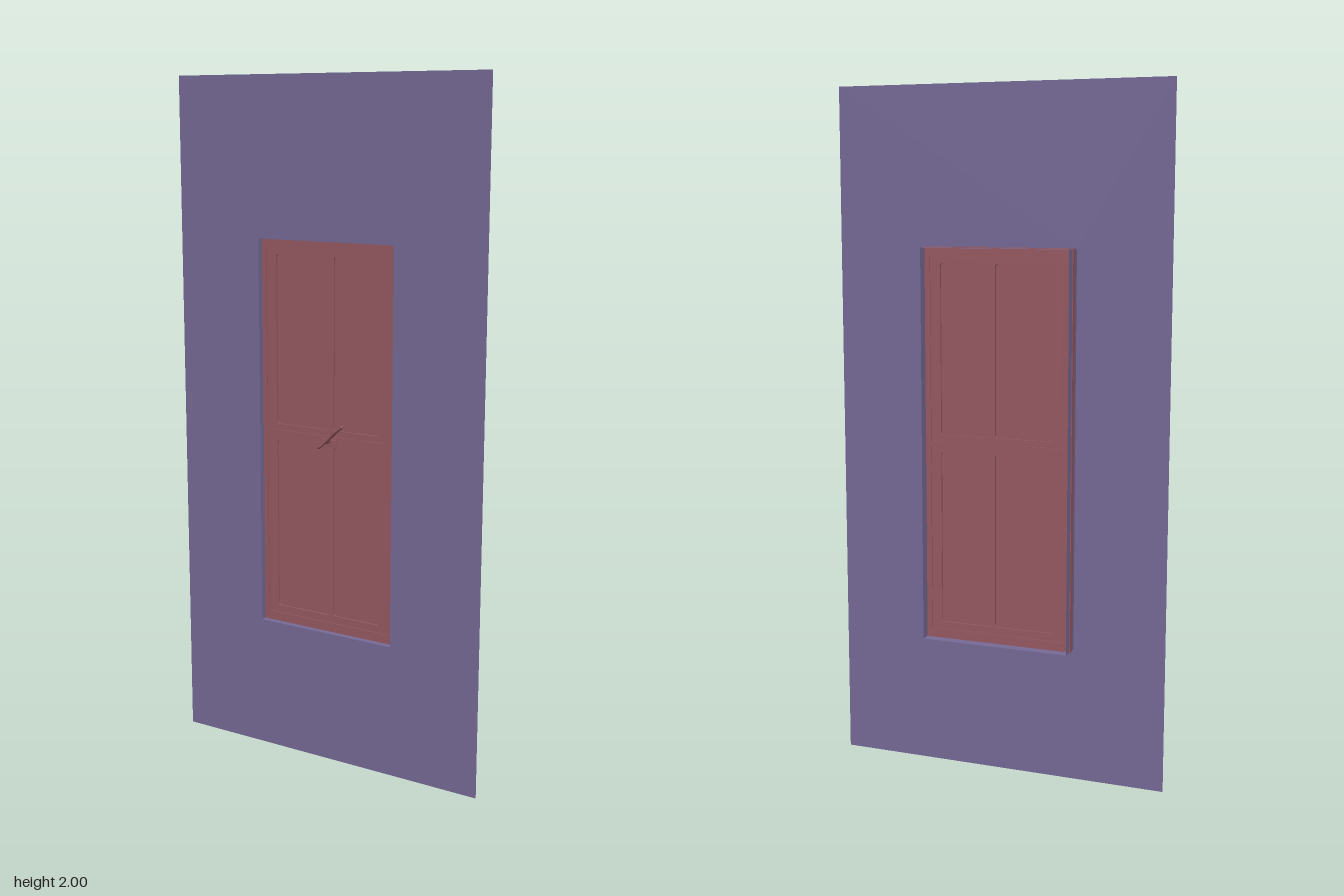
import * as THREE from 'three';

const wallMat = new THREE.MeshStandardMaterial({ color: 0x776b98, side: THREE.DoubleSide });
const woodMat = new THREE.MeshStandardMaterial({ color: 0x985a62 });

// Outline of a rectangle, with optionally rounded corners
function rect(Type, x0, x1, y0, y1, r = 0) {
  const p = new Type();
  if (!r) {
    p.moveTo(x0, y0).lineTo(x1, y0).lineTo(x1, y1).lineTo(x0, y1).closePath();
    return p;
  }
  p.absarc(x1 - r, y0 + r, r, -Math.PI / 2, 0);
  p.absarc(x1 - r, y1 - r, r, 0, Math.PI / 2);
  p.absarc(x0 + r, y1 - r, r, Math.PI / 2, Math.PI);
  p.absarc(x0 + r, y0 + r, r, Math.PI, Math.PI * 1.5);
  p.closePath();
  return p;
}

function mesh(name, geometry, material) {
  const m = new THREE.Mesh(geometry, material);
  m.name = name;
  return m;
}

// Flat board with openings, from z0 to z1
function board(name, outline, holes, z0, z1) {
  outline.holes.push(...holes);
  const g = new THREE.ExtrudeGeometry(outline, { depth: z1 - z0, bevelEnabled: false, curveSegments: 4 });
  g.translate(0, 0, z0);
  return mesh(name, g, woodMat);
}

export function createModel() {
  const model = new THREE.Group();
  model.name = 'windowInWall';
  const L = -0.227, R = 0.217, B = 0.396, T = 1.544;
  const front = 0.018, back = -0.05;

  // Thin wall with the window opening
  const wall = rect(THREE.Shape, -0.5, 0.5, 0, 2);
  wall.holes.push(rect(THREE.Path, L, R, B, T));
  const wallMesh = mesh('wall', new THREE.ShapeGeometry(wall), wallMat);
  wallMesh.position.z = front;
  model.add(wallMesh);

  // Open lining of the window opening
  const reveal = new THREE.Group();
  reveal.name = 'reveal';
  const depth = front - back, zMid = (front + back) / 2;
  for (const y of [B, T]) {
    const m = mesh('revealHorizontal', new THREE.PlaneGeometry(R - L, depth), wallMat);
    m.rotation.x = y === B ? -Math.PI / 2 : Math.PI / 2;
    m.position.set((L + R) / 2, y, zMid);
    reveal.add(m);
  }
  for (const x of [L, R]) {
    const m = mesh('revealSide', new THREE.PlaneGeometry(depth, T - B), wallMat);
    m.rotation.y = x === L ? Math.PI / 2 : -Math.PI / 2;
    m.position.set(x, (B + T) / 2, zMid);
    reveal.add(m);
  }
  model.add(reveal);

  // Outer frame with a transom
  const sashes = [['lowerSash', 0.423, 0.971, 0.445, 0.955], ['upperSash', 0.987, 1.521, 1.005, 1.5]];
  const sL = -0.213, sR = 0.201;
  model.add(board('frame', rect(THREE.Shape, L - 0.002, R + 0.002, B - 0.002, T + 0.002),
    sashes.map(([, y0, y1]) => rect(THREE.Path, sL, sR, y0, y1)), -0.02, 0));

  // Two sashes, each with two panes
  for (const [name, y0, y1, p0, p1] of sashes) {
    const sash = new THREE.Group();
    sash.name = name;
    const panes = [[-0.18, 0.002], [0.014, 0.17]];
    sash.add(board('sashFrame', rect(THREE.Shape, sL, sR, y0, y1),
      panes.map(([a, b]) => rect(THREE.Path, a, b, p0, p1, 0.008)), -0.017, -0.003));
    for (const [a, b] of panes) {
      const pane = mesh('pane', new THREE.BoxGeometry(b - a + 0.006, p1 - p0 + 0.006, 0.003), woodMat);
      pane.position.set((a + b) / 2, (p0 + p1) / 2, -0.01);
      sash.add(pane);
    }
    model.add(sash);
  }

  // Latch: base, stem and bent lever
  const latch = new THREE.Group();
  latch.name = 'latch';
  const base = mesh('latchBase', new THREE.BoxGeometry(0.05, 0.012, 0.006), woodMat);
  base.position.set(0.003, 0.973, 0.002);
  const stem = mesh('latchStem', new THREE.CylinderGeometry(0.006, 0.006, 0.03, 10), woodMat);
  stem.rotation.x = Math.PI / 2;
  stem.position.set(0.004, 0.975, 0.014);
  const path = new THREE.CatmullRomCurve3([
    [-0.018, 0.958, 0.028], [0.004, 0.975, 0.028], [0.025, 0.992, 0.034],
    [0.05, 1.014, 0.043], [0.071, 1.03, 0.046],
  ].map((p) => new THREE.Vector3(...p)));
  latch.add(base, stem, mesh('latchLever', new THREE.TubeGeometry(path, 16, 0.0045, 8), woodMat));
  for (const t of [0, 1]) {
    const cap = mesh('leverEnd', new THREE.SphereGeometry(0.0045, 8, 6), woodMat);
    cap.position.copy(path.getPoint(t));
    latch.add(cap);
  }
  model.add(latch);
  return model;
}
